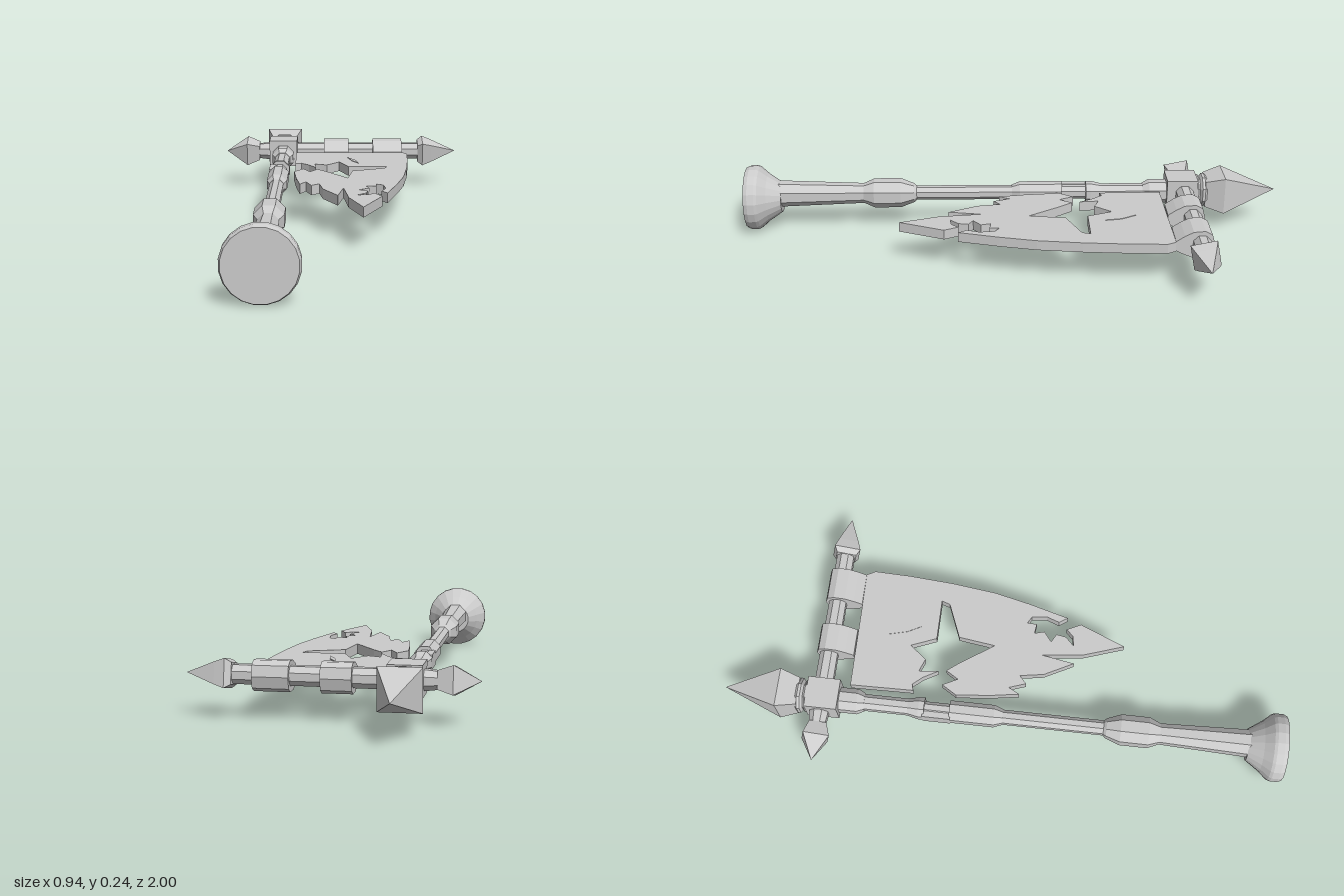
import * as THREE from 'three';

const POLE_X = -0.236, POLE_Y = 0.135, BAR_Y = 0.145, BAR_Z = -0.65;

export function createModel() {
  const group = new THREE.Group();
  const mat = new THREE.MeshStandardMaterial({ color: 0xcccccc, flatShading: true });

  const add = (name, geo, x = 0, y = 0, z = 0) => {
    const mesh = new THREE.Mesh(geo, mat);
    mesh.name = name;
    mesh.position.set(x, y, z);
    group.add(mesh);
    return mesh;
  };

  // Faceted turning from [halfWidth, position] pairs, flat sides squared to the axes
  const turned = (pairs, sides) => {
    const k = 1 / Math.cos(Math.PI / sides);
    const geo = new THREE.LatheGeometry(pairs.map(([r, t]) => new THREE.Vector2(r * k, t)), sides);
    return geo.rotateY(Math.PI / sides);
  };
  const alongZ = (name, pairs, sides = 8, y = POLE_Y) =>
    add(name, turned(pairs, sides).rotateX(Math.PI / 2), POLE_X, y, 0);
  const alongX = (name, pairs, sides = 8, turn = 0) =>
    add(name, turned(pairs, sides).rotateY(turn).rotateZ(-Math.PI / 2), 0, BAR_Y, BAR_Z);

  // Pole with grip knob and flared handle
  alongZ('poleShaft', [
    [0, -0.6], [0.028, -0.6], [0.028, -0.33], [0.025, -0.3], [0.025, -0.19], [0.025, 0.36],
    [0.033, 0.37], [0.051, 0.42], [0.051, 0.52], [0.035, 0.56], [0.046, 0.88], [0, 0.88],
  ]);
  // Thicker sleeve, chipped away on the banner side
  alongZ('sleeveUpper', [[0, -0.34], [0.028, -0.34], [0.037, -0.3], [0.037, -0.28], [0, -0.28]]);
  alongZ('sleeveLower', [[0, -0.19], [0.037, -0.19], [0.037, -0.03], [0.026, 0.0], [0, 0.0]]);
  add('sleeveChipped', new THREE.BoxGeometry(0.022, 0.05, 0.1), POLE_X - 0.026, POLE_Y, -0.235);

  // Round foot of the pole
  alongZ('base', [
    [0, 0.87], [0.056, 0.87], [0.09, 0.92], [0.116, 0.95], [0.12, 0.96], [0.12, 0.985], [0.114, 1], [0, 1],
  ], 20, 0.121);

  // Head: collar, joint block, neck rings and spear point
  alongZ('collar', [[0, -0.6], [0.042, -0.6], [0.042, -0.52], [0.03, -0.495], [0, -0.495]]);
  add('jointBlock', new THREE.BoxGeometry(0.112, 0.105, 0.115), POLE_X, BAR_Y, -0.642);
  alongZ('neckRings', [
    [0, -0.74], [0.05, -0.74], [0.058, -0.73], [0.058, -0.72], [0.048, -0.712], [0.054, -0.705], [0.054, -0.69], [0, -0.69],
  ], 8, 0.14);
  alongZ('spearPoint', [[0, -1], [0.07, -0.8], [0.05, -0.73], [0, -0.73]], 4, 0.14);

  // Crossbar with a pointed finial at each end
  alongX('crossbar', [
    [0, -0.36], [0.026, -0.36], [0.033, -0.3], [0.031, 0.1], [0.031, 0.33], [0, 0.33],
  ]);
  alongX('finialRight', [[0, -0.47], [0.046, -0.385], [0.03, -0.335], [0, -0.335]], 4, 0.2);
  alongX('finialLeft', [[0, 0.315], [0.035, 0.315], [0.047, 0.335], [0.036, 0.37], [0, 0.47]], 4, 0.2);

  // Cloth loops wrapping the bar, profile in (-z, y)
  const loopProfile = new THREE.Shape([
    [0.56, 0.155], [0.59, 0.175], [0.62, 0.19], [0.66, 0.193], [0.685, 0.18], [0.695, 0.145],
    [0.685, 0.107], [0.66, 0.093], [0.62, 0.093], [0.59, 0.105], [0.56, 0.12],
  ].map(([a, b]) => new THREE.Vector2(a, b)));
  for (const [x, width] of [[-0.07, 0.1], [0.13, 0.118]]) {
    const geo = new THREE.ExtrudeGeometry(loopProfile, { depth: width, bevelEnabled: false });
    add('bannerLoop', geo.rotateY(Math.PI / 2), x, 0, 0);
  }

  // Flat cloth cut from an (x, z) outline in hundredths
  const cloth = (name, points, top, depth) => {
    const shape = new THREE.Shape(points.map(([x, z]) => new THREE.Vector2(x / 100, z / 100)));
    const geo = new THREE.ExtrudeGeometry(shape, { depth, bevelEnabled: false });
    add(name, geo.rotateX(Math.PI / 2), 0, top, 0);
  };
  cloth('banner', [
    // top and right edges
    [-18.2, -55.5], [25, -56], [26.6, -53], [26.2, -40], [25, -24], [23, -8], [20, 5], [16, 19.5],
    // torn hole near the lower right edge
    [14, 16.5], [15.6, 12], [15, 6.5], [12.5, 5], [12.4, 8.5], [8.8, 8], [9.8, 11.5], [6.2, 14.3],
    [9.2, 16], [8.6, 19.5], [5.5, 22.5], [9.2, 22], [11.5, 19.5], [14, 24.5],
    // ragged lower points
    [7.2, 40.8], [2.4, 26.5], [0.7, 11.5], [-1.3, 23.3], [-6.6, 13], [-8, 4.5], [-10.8, 7],
    [-12.9, 1], [-15, 5], [-16.6, -5], [-17.8, -17.5],
    // large tear across the middle
    [-14.5, -22.8], [-11.8, -17.5], [-9, -22], [-5.5, -17.5], [2.4, -5.8], [4.2, -19],
    [16.6, -24], [17.6, -27], [2.8, -27], [-0.8, -36], [-5.6, -30], [-10.2, -31.8], [-9.6, -24.8],
    [-12.5, -30], [-15.5, -33.5], [-17.8, -32.8],
  ], 0.154, 0.036);
  // Small crease on both faces
  cloth('bannerCrease', [[2.6, -44.5], [5.8, -39], [6.8, -33], [4.2, -38]], 0.156, 0.04);

  return group;
}
